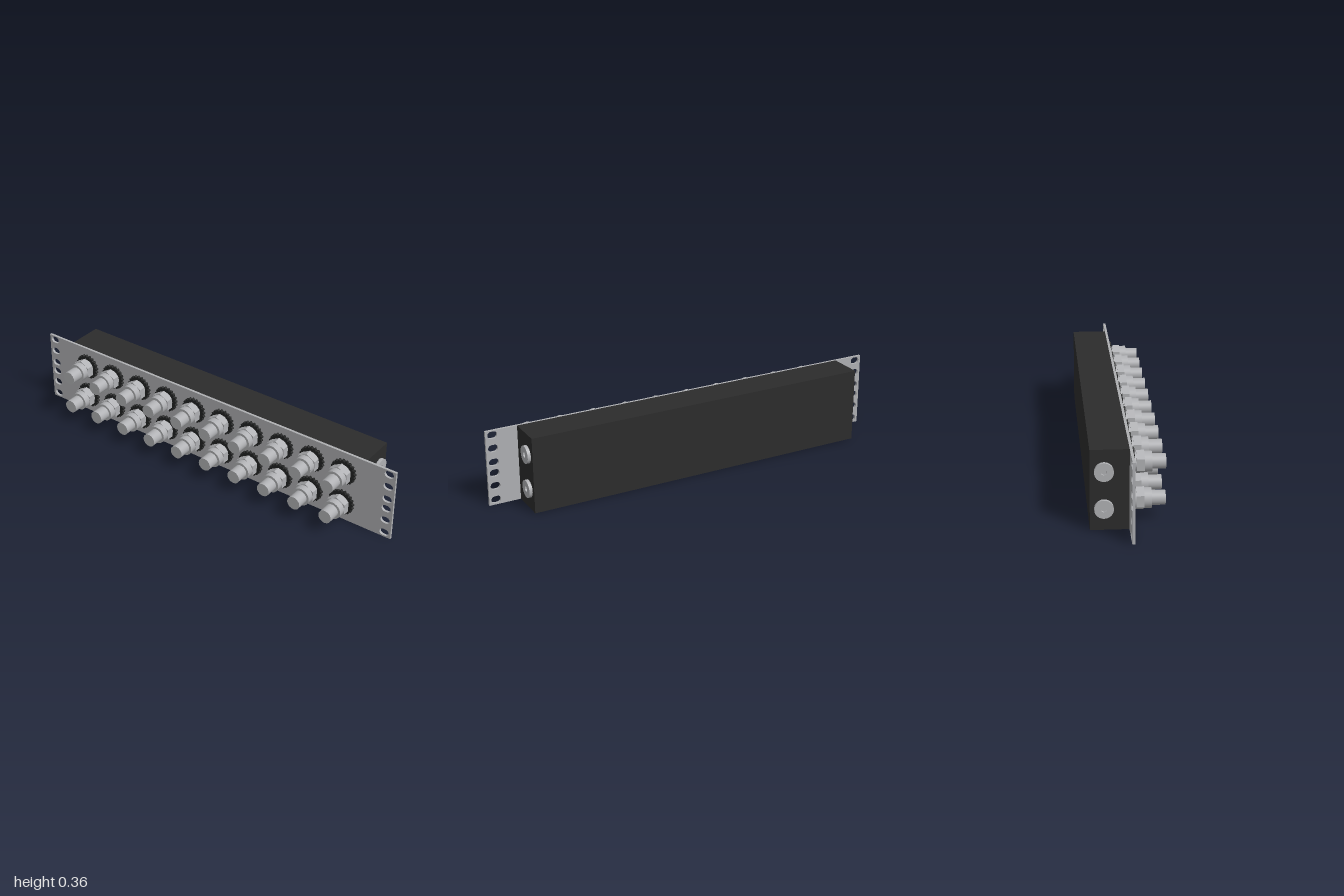
import * as THREE from 'three';

const mat = (name, color) => Object.assign(new THREE.MeshStandardMaterial({ color }), { name });

export function createModel() {
  const group = new THREE.Group();
  const panelGrey = mat('panel grey', 0xaeafb2);
  const metal = mat('connector metal', 0xb0b1b4);
  const boxBlack = mat('housing black', 0x2c2c2c);
  const rubber = mat('washer black', 0x222323);

  const add = (parent, name, geometry, material, x = 0, y = 0, z = 0) => {
    const mesh = new THREE.Mesh(geometry, material);
    mesh.name = name;
    mesh.position.set(x, y, z);
    parent.add(mesh);
    return mesh;
  };

  const H = 0.36, rows = [0.098, 0.264];

  // Rack front panel with rounded mounting slots at both ends
  const plate = new THREE.Shape();
  plate.moveTo(-1, 0).lineTo(1, 0).lineTo(1, H).lineTo(-1, H).closePath();
  for (const x of [-0.967, 0.967]) {
    for (const y of [0.024, 0.092, 0.155, 0.207, 0.274, 0.338]) {
      const slot = new THREE.Path(), r = 0.017, dx = 0.006;
      slot.absarc(x + dx, y, r, -Math.PI / 2, Math.PI / 2, false);
      slot.absarc(x - dx, y, r, Math.PI / 2, Math.PI * 1.5, false);
      slot.closePath();
      plate.holes.push(slot);
    }
  }
  const plateGeo = new THREE.ExtrudeGeometry(plate, { depth: 0.012, bevelEnabled: false, curveSegments: 10 });
  add(group, 'frontPanel', plateGeo, panelGrey, 0, 0, 0.004);

  // Rear housing
  add(group, 'housing', new THREE.BoxGeometry(1.7, H, 0.166), boxBlack, 0, H / 2, -0.079);

  // Cylinder lying along z between two depths
  const rod = (r, z0, z1, sides = 32) =>
    new THREE.CylinderGeometry(r, r, z1 - z0, sides).rotateX(Math.PI / 2).translate(0, 0, (z0 + z1) / 2);

  // Toothed washer outline
  const star = new THREE.Shape();
  const teeth = 20;
  for (let i = 0; i < teeth * 4; i++) {
    const a = ((i + 0.5) / (teeth * 4)) * Math.PI * 2;
    const r = i % 4 < 2 ? 0.064 : 0.057;
    star[i ? 'lineTo' : 'moveTo'](Math.cos(a) * r, Math.sin(a) * r);
  }
  star.closePath();
  const washerGeo = new THREE.ExtrudeGeometry(star, { depth: 0.014, bevelEnabled: false });

  const collarGeo = rod(0.042, 0.028, 0.039);
  const nutGeo = rod(0.052, 0.038, 0.072, 6).toNonIndexed();
  nutGeo.computeVertexNormals();
  const shoulderGeo = rod(0.0445, 0.072, 0.104);
  const barrelGeo = rod(0.0325, 0.104, 0.163);

  // Two rows of ten connectors
  for (const y of rows) {
    for (let i = 0; i < 10; i++) {
      const connector = new THREE.Group();
      connector.name = 'connector';
      connector.position.set(-0.75 + i * 0.166, y, 0);
      add(connector, 'toothedWasher', washerGeo, rubber, 0, 0, 0.016);
      add(connector, 'collar', collarGeo, metal);
      add(connector, 'hexNut', nutGeo, metal);
      add(connector, 'shoulder', shoulderGeo, metal);
      add(connector, 'barrel', barrelGeo, metal);
      group.add(connector);
    }
  }

  // Side plugs with a recessed hexagon socket
  const disc = new THREE.Shape().absarc(0, 0, 0.041, 0, Math.PI * 2, false);
  const socket = new THREE.Path();
  for (let i = 0; i < 6; i++) {
    const a = Math.PI / 2 - (i * Math.PI) / 3;
    socket[i ? 'lineTo' : 'moveTo'](Math.cos(a) * 0.0135, Math.sin(a) * 0.0135);
  }
  socket.closePath();
  disc.holes.push(socket);
  const plugGeo = new THREE.ExtrudeGeometry(disc, { depth: 0.015, bevelEnabled: false, curveSegments: 24 });
  const floorGeo = new THREE.CircleGeometry(0.015, 24);
  for (const side of [-1, 1]) {
    for (const y of rows) {
      const plug = new THREE.Group();
      plug.name = side > 0 ? 'leftPlug' : 'rightPlug';
      plug.position.set(side * 0.85, y, -0.103);
      plug.rotation.y = (side * Math.PI) / 2;
      add(plug, 'plugRim', plugGeo, metal);
      add(plug, 'socketFloor', floorGeo, metal, 0, 0, 0.004);
      group.add(plug);
    }
  }
  return group;
}
